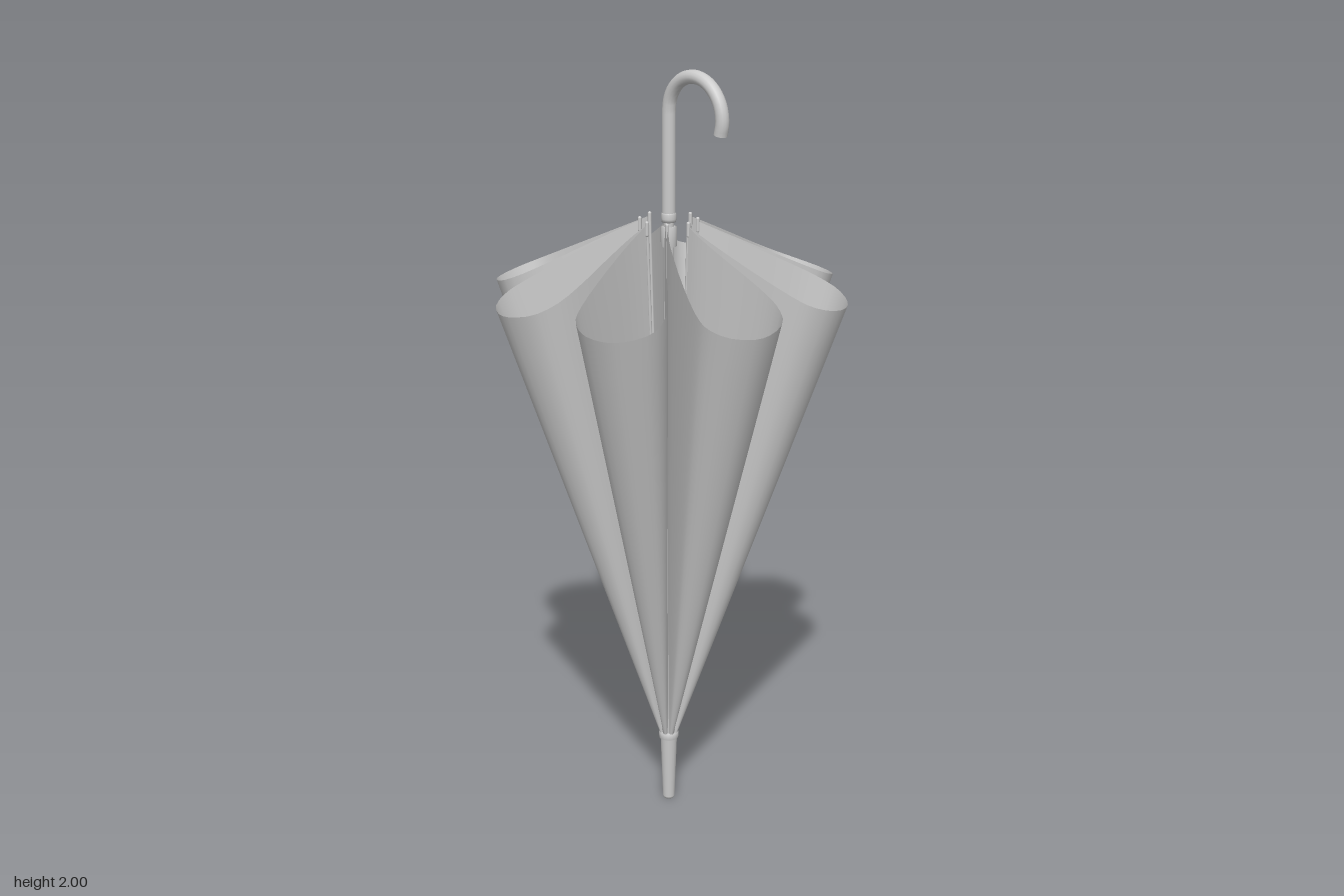
import * as THREE from 'three';

const RIBS = 8;
const STEP = (Math.PI * 2) / RIBS;
const TIP_Y = 0.19, TIP_R = 0.021;

// Hem of one loose cloth fold, seen from above (x, z), running from rib to rib
const HEM = [
  [0.072, 0.002], [0.12, 0.004], [0.2, -0.003], [0.3, -0.015], [0.37, -0.013], [0.42, 0.014],
  [0.444, 0.075], [0.44, 0.125], [0.405, 0.178], [0.354, 0.2], [0.311, 0.192],
  [0.226, 0.155], [0.12, 0.098], [0.07, 0.066], [0.05, 0.052],
];

const metal = new THREE.MeshStandardMaterial({ color: 0xcccccc });
const cloth = new THREE.MeshStandardMaterial({ color: 0xcccccc, side: THREE.DoubleSide });

function add(parent, name, geometry, material = metal) {
  const mesh = new THREE.Mesh(geometry, material);
  mesh.name = name;
  parent.add(mesh);
  return mesh;
}

const lathe = (profile, sides = 16) =>
  new THREE.LatheGeometry(profile.map(([r, y]) => new THREE.Vector2(r, y)), sides);

// Cloth between two ribs: hem curve drawn down to a small arc at the tip
function foldGeometry(cols = 32, rows = 12) {
  const hem = new THREE.CatmullRomCurve3(HEM.map(([x, z]) =>
    new THREE.Vector3(x, 1.62 - 0.47 * (Math.hypot(x, z) - 0.06), z)), false, 'centripetal');
  const pos = [], index = [];
  const low = new THREE.Vector3(), p = new THREE.Vector3();
  for (let j = 0; j <= rows; j++) {
    for (let i = 0; i <= cols; i++) {
      const a = (i / cols) * STEP;
      low.set(Math.cos(a) * TIP_R, TIP_Y, Math.sin(a) * TIP_R);
      p.lerpVectors(low, hem.getPoint(i / cols), j / rows);
      pos.push(p.x, p.y, p.z);
      if (i < cols && j < rows) {
        const c = j * (cols + 1) + i, up = c + cols + 1;
        index.push(c, up, c + 1, c + 1, up, up + 1);
      }
    }
  }
  const g = new THREE.BufferGeometry();
  g.setAttribute('position', new THREE.Float32BufferAttribute(pos, 3));
  g.setIndex(index);
  g.computeVertexNormals();
  return g;
}

export function createModel() {
  const group = new THREE.Group();
  group.name = 'closedUmbrella';

  // Shaft and tip
  const shaft = add(group, 'shaft', new THREE.CylinderGeometry(0.013, 0.013, 1.45, 16));
  shaft.position.y = 0.905;
  add(group, 'ferrule', lathe([[0, 0], [0.014, 0], [0.016, 0.006], [0.022, 0.18], [0.026, 0.185],
    [0.026, 0.2], [0.018, 0.21]]));
  add(group, 'runner', lathe([[0.013, 1.55], [0.02, 1.55], [0.02, 1.6], [0.013, 1.6]]));

  // Crook handle
  const R = 0.095, CY = 1.888;
  const path = new THREE.CurvePath();
  path.add(new THREE.LineCurve3(new THREE.Vector3(0, 1.62, 0), new THREE.Vector3(0, CY, 0)));
  const arc = [];
  for (let i = 0; i <= 12; i++) {
    const a = Math.PI * (1 - (i / 12) * 1.11);
    arc.push(new THREE.Vector3(R + R * Math.cos(a), CY + R * Math.sin(a), 0));
  }
  path.add(new THREE.CatmullRomCurve3(arc));
  add(group, 'handle', new THREE.TubeGeometry(path, 48, 0.017, 14));
  add(group, 'handleCollar', lathe([[0, 1.612], [0.018, 1.612], [0.019, 1.62], [0.019, 1.632], [0.017, 1.635]]));
  const end = add(group, 'handleEnd', new THREE.CircleGeometry(0.017, 14), cloth);
  end.position.copy(arc[12]);
  end.lookAt(arc[12].clone().multiplyScalar(2).sub(arc[11]));

  // Canopy folds and ribs, repeated around the shaft
  const fold = foldGeometry();
  const rib = new THREE.TubeGeometry(new THREE.LineCurve3(
    new THREE.Vector3(0.019, 0.2, 0), new THREE.Vector3(0.071, 1.6, 0)), 1, 0.004, 6);
  const ribTip = new THREE.CapsuleGeometry(0.005, 0.03, 3, 8);
  for (let k = 0; k < RIBS; k++) {
    const section = new THREE.Group();
    section.name = 'canopySection';
    section.rotation.y = -k * STEP;
    add(section, 'clothFold', fold, cloth);
    add(section, 'rib', rib);
    add(section, 'ribTip', ribTip).position.set(0.072, 1.605, 0);
    group.add(section);
  }
  return group;
}
